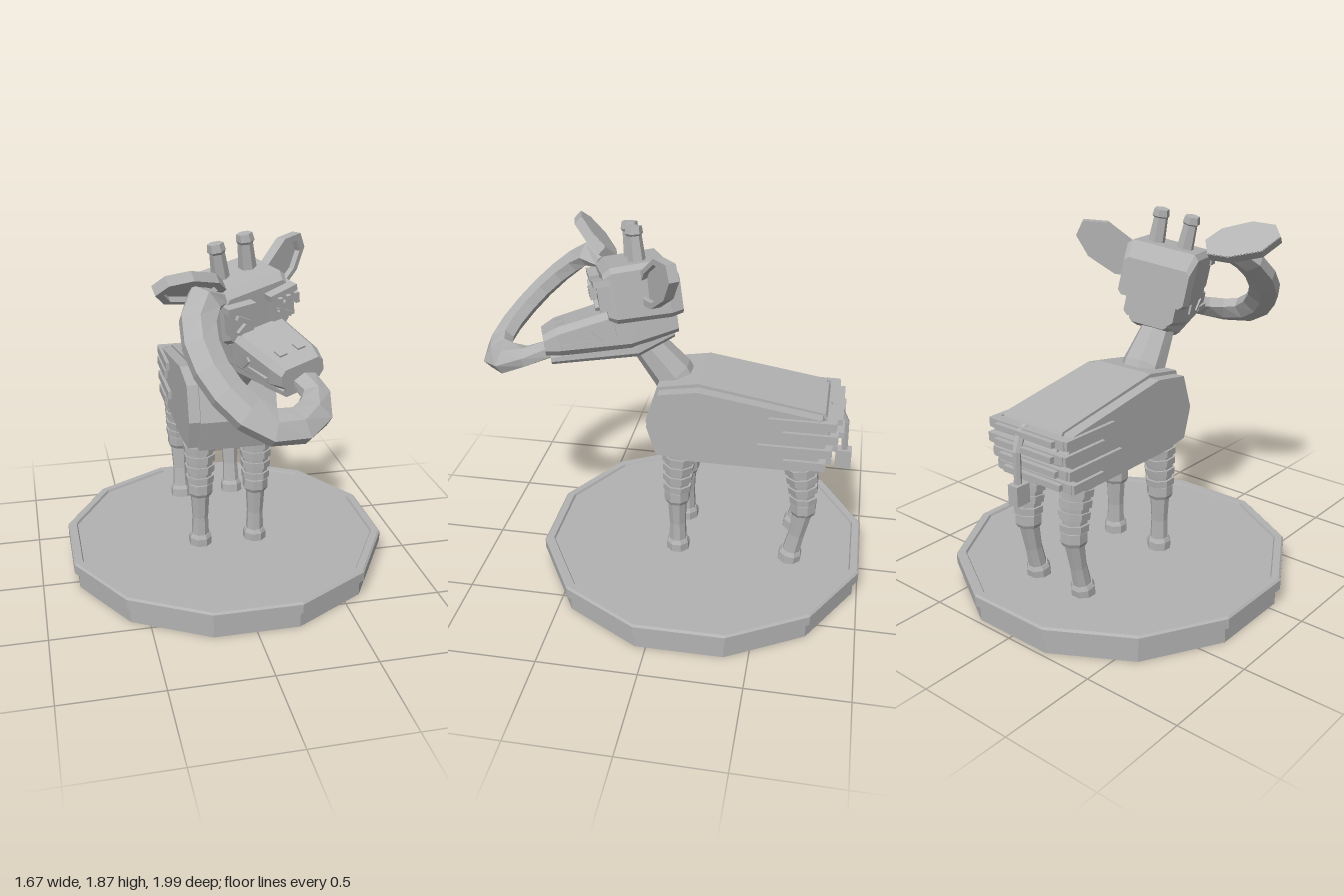
import * as THREE from 'three';

const V = (x, y, z) => new THREE.Vector3(x, y, z);
const grey = new THREE.MeshStandardMaterial({ color: 0xb2b2b2 });
grey.name = 'plain grey';

// Faceted mesh added to a parent
function add(parent, name, geo) {
  const g = geo.index ? geo.toNonIndexed() : geo;
  g.computeVertexNormals();
  const m = new THREE.Mesh(g, grey);
  m.name = name;
  parent.add(m);
  return m;
}

// Skin over equal rings, each counter-clockwise seen from the far end
function loft(rings) {
  const n = rings[0].length, idx = [], last = (rings.length - 1) * n;
  for (let j = 0; j < rings.length - 1; j++)
    for (let i = 0; i < n; i++) {
      const a = j * n + i, b = j * n + (i + 1) % n;
      idx.push(a, b, b + n, a, b + n, a + n);
    }
  for (let i = 1; i < n - 1; i++) idx.push(0, i + 1, i, last, last + i, last + i + 1);
  const g = new THREE.BufferGeometry().setFromPoints(rings.flat());
  g.setIndex(idx);
  return g;
}

// Sweep an elliptical polygon along points; sizes are [width, thickness]
function sweep(pts, sizes, sides, ref) {
  return loft(pts.map((p, k) => {
    const t = pts[Math.min(k + 1, pts.length - 1)].clone().sub(pts[Math.max(k - 1, 0)]).normalize();
    const s = ref.clone().cross(t).normalize(), b = t.clone().cross(s);
    return Array.from({ length: sides }, (_, i) => {
      const a = (i + 0.5) / sides * Math.PI * 2;
      return p.clone().addScaledVector(s, Math.cos(a) * sizes[k][0]).addScaledVector(b, Math.sin(a) * sizes[k][1]);
    });
  }));
}

// Chamfered rectangle ring at depth z
function rectRing(z, w, y0, y1, c) {
  return [[w, y0 + c], [w, y1 - c], [w - c, y1], [c - w, y1], [-w, y1 - c], [-w, y0 + c], [c - w, y0], [w - c, y0]]
    .map(([x, y]) => V(x, y, z));
}

// Side profile of (z, y) points extruded across x
function slab(profile, x0, x1) {
  const s = new THREE.Shape(profile.map(p => new THREE.Vector2(...p)));
  return new THREE.ExtrudeGeometry(s, { depth: x1 - x0, bevelEnabled: false })
    .rotateY(-Math.PI / 2).translate(x1, 0, 0);
}

function box(parent, name, size, pos, rot = [0, 0, 0]) {
  const m = add(parent, name, new THREE.BoxGeometry(...size));
  m.position.set(...pos);
  m.rotation.set(...rot);
  return m;
}

function buildLeg(parent, name, x, path) {
  const leg = new THREE.Group();
  leg.name = name;
  parent.add(leg);
  const curve = path.map(([y, z]) => V(x, y, z));
  const at = y => {
    let k = 0;
    while (k < curve.length - 2 && curve[k + 1].y < y) k++;
    const a = curve[k], b = curve[k + 1];
    return a.clone().lerp(b, (y - a.y) / (b.y - a.y));
  };
  const part = (label, spans) =>
    add(leg, label, sweep(spans.map(s => at(s[0])), spans.map(s => [s[1], s[1]]), 8, V(0, 0, 1)));
  part('hoof', [[0.135, 0.062], [0.18, 0.062], [0.2, 0.052]]);
  part('shin', [[0.18, 0.048], [0.3, 0.043], [0.45, 0.052]]);
  part('knee', [[0.43, 0.058], [0.45, 0.068], [0.5, 0.068], [0.52, 0.058]]);
  part('thigh', [[0.5, 0.06], [0.62, 0.07], [0.78, 0.08]]);
  [0.525, 0.585, 0.645, 0.7].forEach((y, i) =>
    part('legStripe', [[y - 0.018, 0.074 + i * 0.004], [y + 0.018, 0.076 + i * 0.004]]));
}

// Ear with a raised rim; u runs to the tip, v across
function buildEar(parent, name, base, u, v) {
  const outline = k => [[0, -0.045], [0.09, -0.095], [0.25, -0.1], [0.36, -0.05], [0.375, 0.03], [0.27, 0.095], [0.1, 0.09], [0, 0.045]]
    .map(([x, y]) => new THREE.Vector2(0.19 + (x - 0.19) * k, y * k));
  const ear = new THREE.Group();
  ear.name = name;
  const rim = new THREE.Shape(outline(1));
  rim.holes.push(new THREE.Path(outline(0.76)));
  add(ear, 'earRim', new THREE.ExtrudeGeometry(rim, { depth: 0.05, bevelEnabled: false }).translate(0, 0, -0.025));
  add(ear, 'earBack', new THREE.ExtrudeGeometry(new THREE.Shape(outline(0.98)), { depth: 0.025, bevelEnabled: false })
    .translate(0, 0, -0.028));
  u.normalize();
  const n = u.clone().cross(v).normalize();
  ear.quaternion.setFromRotationMatrix(new THREE.Matrix4().makeBasis(u, n.clone().cross(u), n));
  ear.position.copy(base);
  parent.add(ear);
}

function buildHead(parent) {
  const head = new THREE.Group();
  head.name = 'head';
  head.position.set(0, 1.56, 0.19);
  head.rotation.set(0.1, 0.37, 0.18, 'YXZ');
  parent.add(head);
  add(head, 'skull', loft([rectRing(-0.19, 0.17, -0.14, 0.05, 0.02), rectRing(-0.13, 0.185, -0.15, 0.13, 0.025),
    rectRing(0.13, 0.185, -0.14, 0.13, 0.025), rectRing(0.17, 0.165, -0.12, 0.1, 0.02)]));
  // muzzle and lower jaw
  add(head, 'muzzle', loft([rectRing(-0.16, 0.13, -0.24, -0.1, 0.02), rectRing(0.08, 0.15, -0.28, -0.07, 0.03),
    rectRing(0.42, 0.135, -0.26, -0.12, 0.03), rectRing(0.49, 0.115, -0.25, -0.15, 0.025)]));
  add(head, 'lowerJaw', loft([rectRing(-0.14, 0.1, -0.27, -0.2, 0.015), rectRing(0.05, 0.125, -0.33, -0.24, 0.02),
    rectRing(0.47, 0.1, -0.3, -0.25, 0.015)]));
  for (const s of [-1, 1]) {
    box(head, 'nostril', [0.04, 0.018, 0.045], [s * 0.05, -0.118, 0.4], [0.15, 0, 0]);
    box(head, 'cheekPatch', [0.02, 0.07, 0.09], [s * 0.148, -0.17, 0.1]);
    box(head, 'mouthCorner', [0.02, 0.025, 0.14], [s * 0.14, -0.215, 0.34]);
    box(head, 'mouthCorner', [0.02, 0.025, 0.08], [s * 0.142, -0.19, 0.25], [-0.8, 0, 0]);
    // horns
    const horn = [V(s * 0.075, 0.1, -0.01), V(s * 0.078, 0.25, -0.015), V(s * 0.08, 0.26, -0.015), V(s * 0.08, 0.295, -0.02)];
    add(head, 'horn', sweep(horn, [[0.045, 0.045], [0.036, 0.036], [0.044, 0.044], [0.038, 0.038]], 6, V(0, 0, 1)));
    // eyes, brows and lids
    box(head, 'eye', [0.12, 0.12, 0.06], [s * 0.115, -0.01, 0.175]);
    box(head, 'brow', [0.15, 0.03, 0.08], [s * 0.115, 0.06, 0.18], [0, 0, s * 0.1]);
    for (const k of [-1, 1])
      box(head, 'eyelid', [0.075, 0.022, 0.025], [s * 0.115, -0.015 + k * 0.02, 0.212], [0, 0, s * k * 0.6]);
  }
  for (const k of [-1, 0, 1]) box(head, 'eyelash', [0.02, 0.05, 0.03], [0.13 + k * 0.045, 0.025, 0.225]);
}

export function createModel() {
  const model = new THREE.Group();
  model.name = 'stripedAnimalOnStand';

  // twelve-sided stand with a raised rim
  const rim = [[0, 0], [0.84, 0], [0.84, 0.08], [0.865, 0.09], [0.865, 0.14], [0.855, 0.15], [0.818, 0.15], [0.812, 0.138], [0, 0.138]];
  add(model, 'stand', new THREE.LatheGeometry(rim.map(p => new THREE.Vector2(...p)), 12, Math.PI / 12))
    .position.z = -0.165;

  // body core and flanks
  const profile = [[0.12, 0.9], [0.07, 0.73], [-0.11, 0.705], [-0.7, 0.705], [-0.75, 0.74], [-0.815, 0.94], [-0.77, 1.025], [-0.145, 1.13], [0.06, 1.095]];
  const inset = profile.map(([z, y]) => [-0.35 + (z + 0.35) * 0.97, 0.91 + (y - 0.91) * 0.92]);
  add(model, 'body', slab(profile, -0.17, 0.17));
  add(model, 'flanks', slab(inset, -0.228, 0.228));

  // rump stripes wrapping round the back
  [[0.99, -0.5, -0.825], [0.92, -0.57, -0.835], [0.84, -0.45, -0.81], [0.765, -0.58, -0.785]].forEach(([y, z0, z1]) => {
    for (const s of [-1, 1]) box(model, 'rumpStripe', [0.03, 0.045, z0 - z1], [s * 0.231, y, (z0 + z1) / 2]);
    box(model, 'rumpStripe', [0.46, 0.045, 0.05], [0, y, z1 + 0.02]);
    box(model, 'rumpStripe', [0.36, 0.03, 0.03], [0, y, z1 - 0.015]);
  });

  // tail
  add(model, 'tail', sweep([V(0.04, 1.0, -0.79), V(0.035, 0.99, -0.83), V(0.025, 0.91, -0.87), V(0.02, 0.74, -0.875)],
    [[0.025, 0.025], [0.025, 0.025], [0.02, 0.02], [0.018, 0.018]], 6, V(1, 0, 0)));
  box(model, 'tailTuft', [0.06, 0.1, 0.08], [0.02, 0.705, -0.872]);

  // legs
  for (const s of [-1, 1]) {
    buildLeg(model, 'frontLeg', s * 0.15, [[0.13, -0.045], [0.5, -0.04], [0.8, -0.055]]);
    buildLeg(model, 'backLeg', s * 0.15, [[0.13, -0.635], [0.2, -0.645], [0.42, -0.695], [0.55, -0.69], [0.8, -0.655]]);
  }

  // neck
  add(model, 'neck', sweep([V(0, 1.0, -0.04), V(0, 1.1, 0.01), V(0.01, 1.25, 0.13), V(0.02, 1.4, 0.2)],
    [[0.12, 0.11], [0.115, 0.105], [0.09, 0.085], [0.085, 0.08]], 8, V(0, 0, 1)));

  buildHead(model);
  buildEar(model, 'leftEar', V(0.12, 1.56, 0.13), V(0.64, 0.59, -0.49), V(-0.47, 0.8, 0.36));
  buildEar(model, 'rightEar', V(-0.13, 1.65, 0.36), V(-0.81, 0.22, 0.54), V(-0.54, -0.65, -0.54));

  // long tongue curling up to the right eye
  const path = new THREE.CatmullRomCurve3([V(0.21, 1.28, 0.58), V(0.24, 1.235, 0.72), V(0.14, 1.185, 0.87), V(-0.02, 1.2, 0.91),
    V(-0.15, 1.29, 0.85), V(-0.25, 1.43, 0.72), V(-0.265, 1.56, 0.57), V(-0.21, 1.64, 0.46), V(-0.12, 1.62, 0.39)]);
  const pts = path.getSpacedPoints(11);
  add(model, 'tongue', sweep(pts, pts.map((_, i) => (i === 11 ? [0.04, 0.025] : i < 2 ? [0.07, 0.045] : [0.09, 0.055])), 6, V(0.1, 0.7, 0.7)));

  return model;
}
